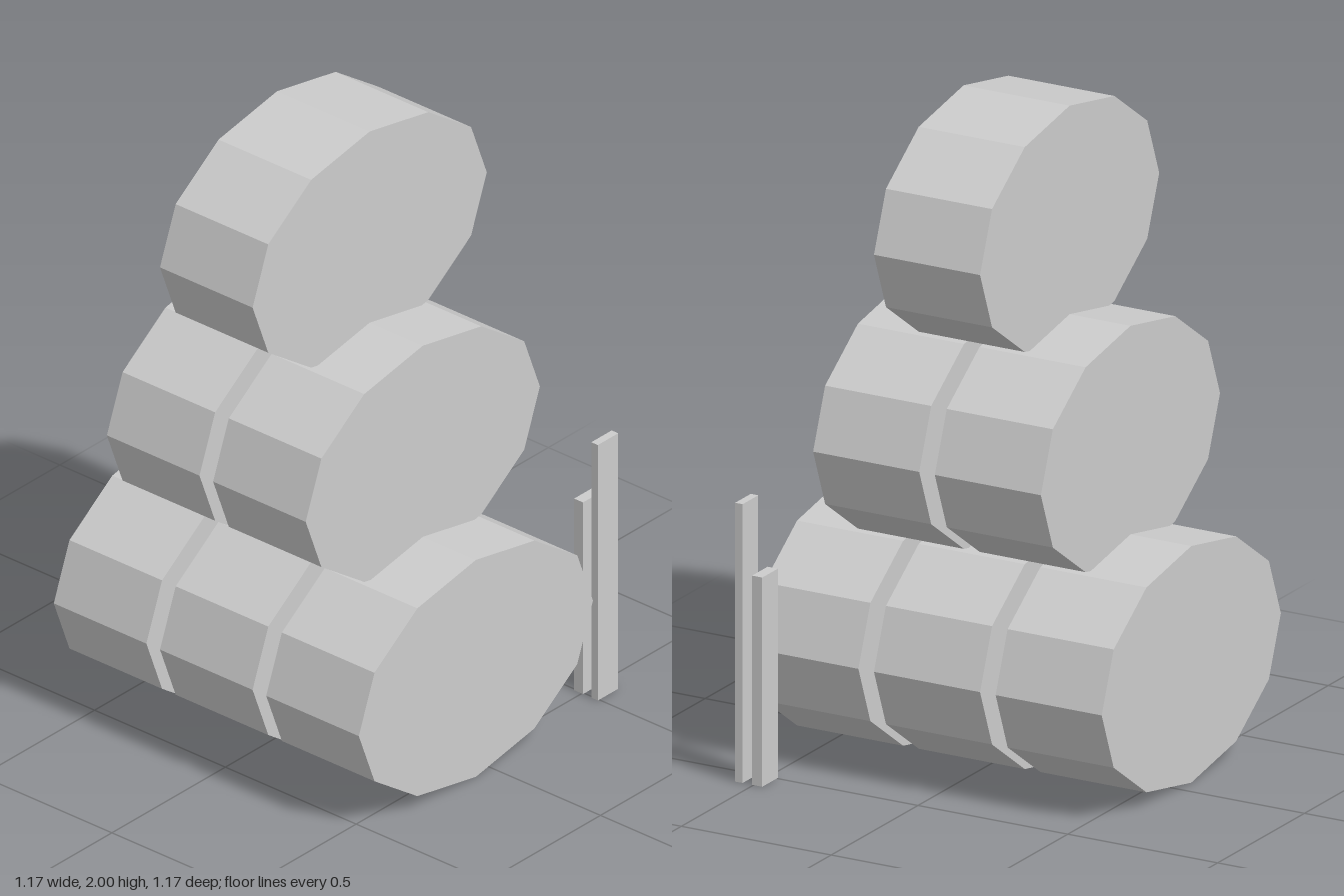
import * as THREE from 'three';

const lightGrey = new THREE.MeshStandardMaterial({ color: 0xcccccc, flatShading: true });
lightGrey.name = 'lightGrey';

export function createModel() {
  const model = new THREE.Group();
  model.name = 'barrelStack';

  // Twelve-sided oval barrel lying along x, with a corner at the top
  const barrelGeometry = new THREE.CylinderGeometry(1, 1, 0.354, 12);
  barrelGeometry.rotateZ(Math.PI / 2);
  barrelGeometry.scale(1, 0.362, 0.516);

  // Pyramid of three, two and one barrels
  for (let row = 0; row < 3; row++) {
    const count = 3 - row;
    for (let i = 0; i < count; i++) {
      const barrel = new THREE.Mesh(barrelGeometry, lightGrey);
      barrel.name = `barrelRow${row + 1}Number${i + 1}`;
      barrel.position.set((i - (count - 1) / 2) * 0.406, 0.362 + row * 0.638, 0.068);
      model.add(barrel);
    }
  }

  // Two upright planks standing behind the stack
  const addPlank = (name, x, width, height) => {
    const plank = new THREE.Mesh(new THREE.BoxGeometry(width, height, 0.09), lightGrey);
    plank.name = name;
    plank.position.set(x, height / 2, -0.539);
    model.add(plank);
  };
  addPlank('shortPlank', 0.488, 0.034, 0.64);
  addPlank('tallPlank', 0.549, 0.025, 0.853);

  return model;
}
